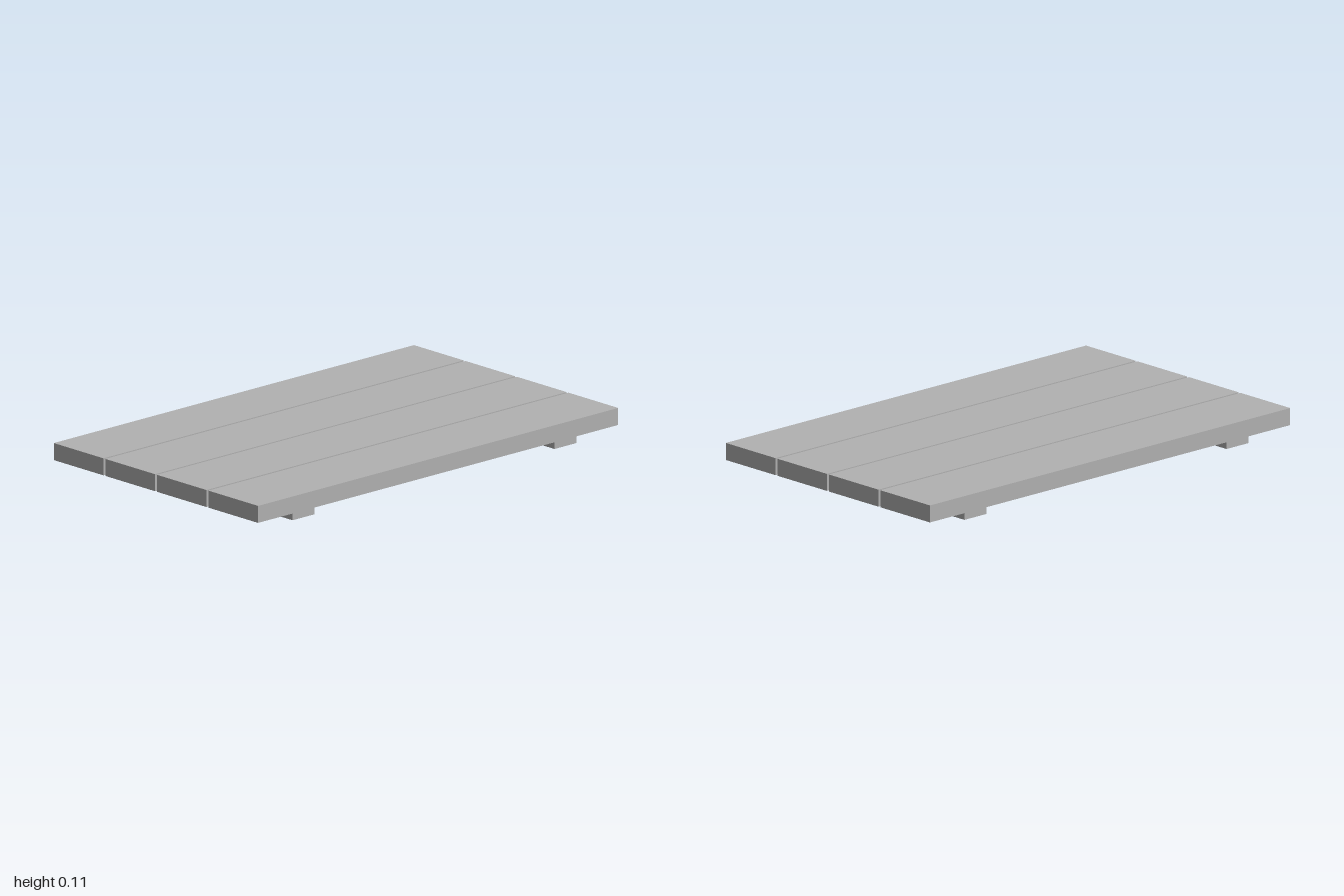
import * as THREE from 'three';

export function createModel() {
  const group = new THREE.Group();
  const grey = new THREE.MeshStandardMaterial({ color: 0xb2b2b2 });
  grey.name = 'plain grey';

  const addBox = (name, [w, h, d], [x, y, z]) => {
    const mesh = new THREE.Mesh(new THREE.BoxGeometry(w, h, d), grey);
    mesh.name = name;
    mesh.position.set(x, y, z);
    group.add(mesh);
  };

  const cleatHeight = 0.037;
  const plankHeight = 0.072;

  // Four long planks with narrow gaps between them
  [0.4565, 0.152, -0.152, -0.4565].forEach((z, i) =>
    addBox(`plank${i + 1}`, [2, plankHeight, 0.2935], [0, cleatHeight + plankHeight / 2, z]));

  // Two cleats running across underneath
  for (const side of [-1, 1]) {
    addBox(side > 0 ? 'leftCleat' : 'rightCleat',
      [0.123, cleatHeight, 1.165], [side * 0.7275, cleatHeight / 2, 0]);
  }

  return group;
}
